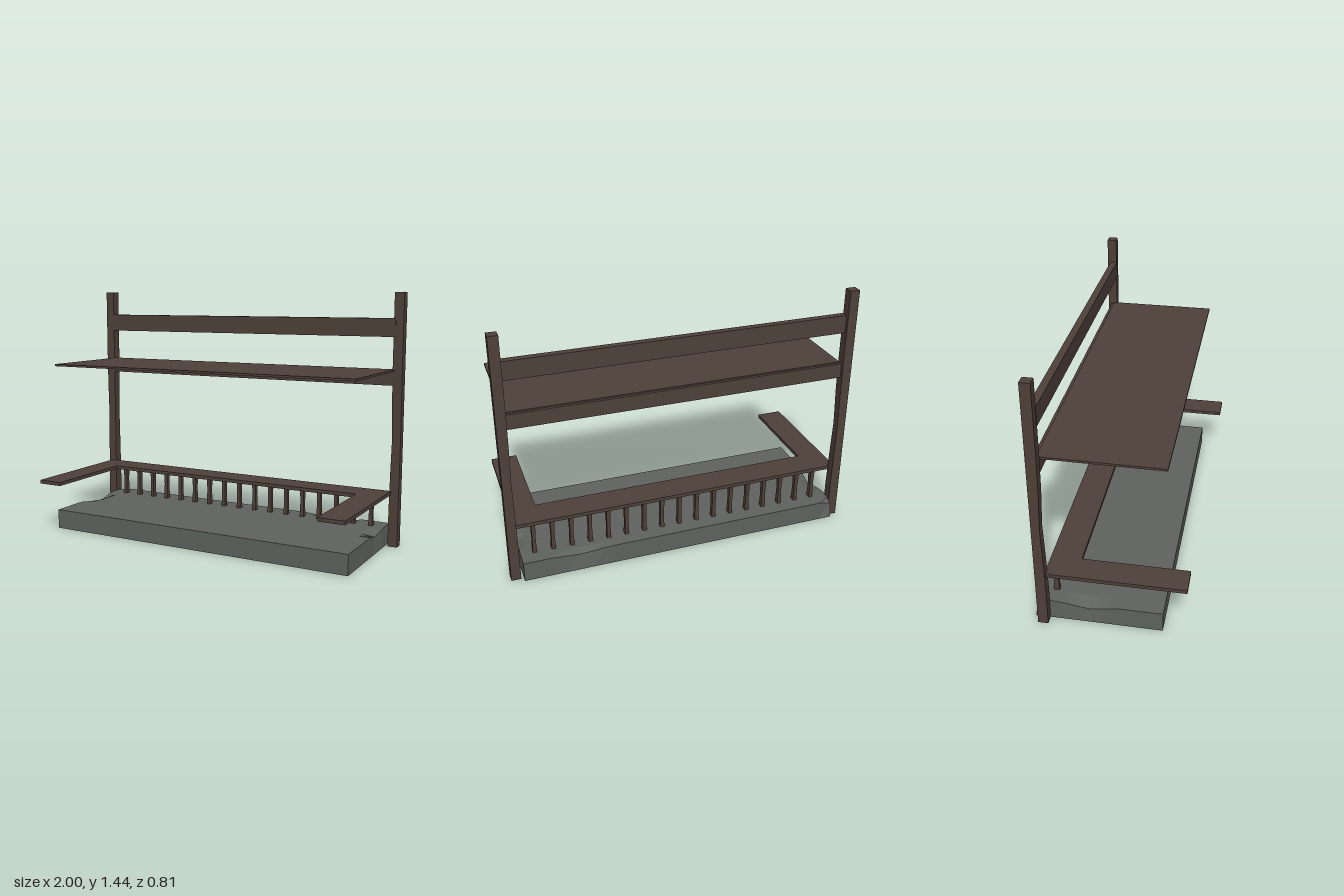
import * as THREE from 'three';

const wood = new THREE.MeshStandardMaterial({ color: 0x4f403a });
wood.name = 'dark wood';
const stone = new THREE.MeshStandardMaterial({ color: 0x5f635e });
stone.name = 'grey stone';

// Box given by its limits, optionally subdivided and bent by a rule, with flat faces
function block(name, mat, [x0, x1], [y0, y1], [z0, z1], seg = [1, 1, 1], rule) {
  let geo = new THREE.BoxGeometry(x1 - x0, y1 - y0, z1 - z0, ...seg);
  geo.translate((x0 + x1) / 2, (y0 + y1) / 2, (z0 + z1) / 2);
  if (rule) {
    const p = geo.attributes.position;
    const v = new THREE.Vector3();
    for (let i = 0; i < p.count; i++) {
      v.fromBufferAttribute(p, i);
      rule(v);
      p.setXYZ(i, v.x, v.y, v.z);
    }
    geo = geo.toNonIndexed();
    geo.computeVertexNormals();
  }
  const mesh = new THREE.Mesh(geo, mat);
  mesh.name = name;
  return mesh;
}

export function createModel() {
  const model = new THREE.Group();
  model.name = 'stall';

  // Stone base with chipped upper edges
  const dip = (t, centre, half) => Math.max(0, 1 - Math.abs(t - centre) / half);
  model.add(block('stoneBase', stone, [-0.95, 0.93], [0, 0.115], [-0.405, 0.28], [24, 1, 14], (v) => {
    if (v.y < 0.11) return;
    const { x, z } = v;
    if (x > 0.925) {
      const d = dip(z, -0.175, 0.1);
      v.y -= 0.025 * d;
      v.x -= 0.01 * d;
    }
    if (x < -0.945) {
      const d = dip(z, -0.12, 0.16);
      v.y -= 0.035 * d;
      v.x += 0.01 * d;
    }
    if (z < -0.4) {
      const d = Math.max(dip(x, 0.6, 0.16), dip(x, -0.95, 0.06));
      v.y -= 0.025 * d;
      v.z += 0.015 * d;
    }
  }));

  // Tall corner posts, slightly worn at mid height
  for (const s of [-1, 1]) {
    const limits = [s * 0.945, s].sort((a, b) => a - b);
    model.add(block(s > 0 ? 'leftPost' : 'rightPost', wood, limits, [0, 1.44], [-0.38, -0.325], [1, 7, 1], (v) => {
      const worn = dip(v.y, 0.6, 0.3);
      if (Math.abs(v.x) < 0.97) v.x += s * 0.006 * worn;
      if (v.z > -0.35) v.z -= 0.01 * worn;
    }));
  }

  // Upper crossbar, shelf and the beam carrying it
  model.add(block('upperCrossbar', wood, [-0.955, 0.955], [1.193, 1.296], [-0.362, -0.322]));
  model.add(block('shelf', wood, [-0.94, 0.953], [1.001, 1.013], [-0.345, 0.29]));
  model.add(block('shelfBeam', wood, [-0.95, 0.95], [0.922, 1.006], [-0.362, -0.33]));

  // U-shaped armrest rail
  const outline = [
    [-0.98, -0.335], [0.955, -0.335], [0.955, 0.405], [0.805, 0.405],
    [0.805, -0.17], [-0.83, -0.17], [-0.83, 0.405], [-0.98, 0.405],
  ].map(([x, z]) => new THREE.Vector2(x, -z));
  const railGeo = new THREE.ExtrudeGeometry(new THREE.Shape(outline), { depth: 0.021, bevelEnabled: false });
  railGeo.rotateX(-Math.PI / 2);
  railGeo.translate(0, 0.301, 0);
  const rail = new THREE.Mesh(railGeo, wood);
  rail.name = 'armrestRail';
  model.add(rail);

  // Row of balusters, narrower at mid height
  const balusters = new THREE.Group();
  balusters.name = 'balusters';
  for (let i = -8; i <= 8; i++) {
    const x = i * 0.1062;
    balusters.add(block('baluster', wood, [x - 0.012, x + 0.012], [0.11, 0.303], [-0.325, -0.293], [1, 4, 1], (v) => {
      const waist = 1 - 0.2 * dip(v.y, 0.2, 0.09);
      v.x = x + (v.x - x) * waist;
      v.z = -0.309 + (v.z + 0.309) * waist;
    }));
  }
  model.add(balusters);

  return model;
}
